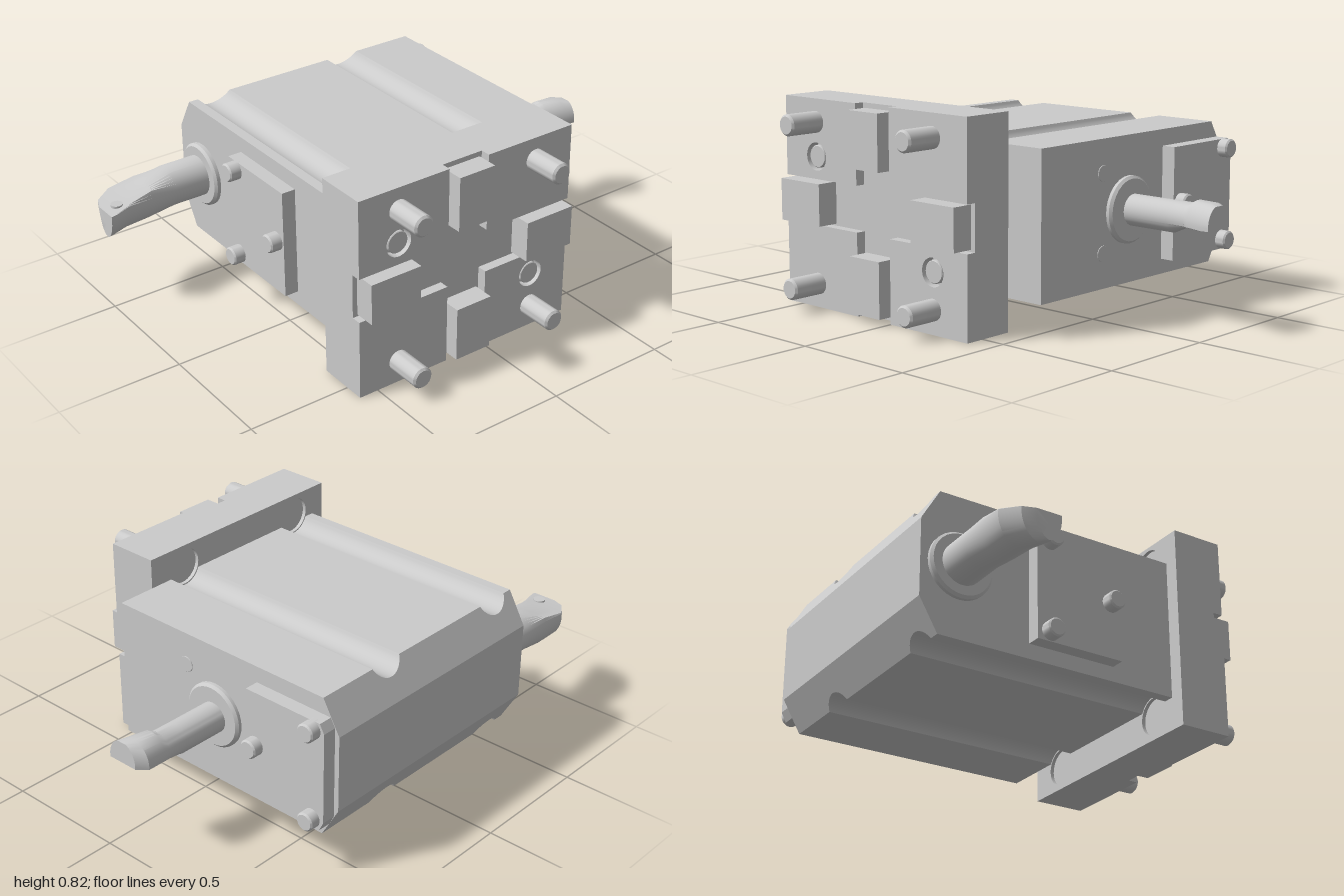
import * as THREE from 'three';
import { toCreasedNormals } from 'three/addons/utils/BufferGeometryUtils.js';

const material = new THREE.MeshStandardMaterial({ color: 0xcccccc });
const clamp = THREE.MathUtils.clamp;

export function createModel() {
  const model = new THREE.Group();

  const add = (name, geometry) => {
    const mesh = new THREE.Mesh(geometry, material);
    mesh.name = name;
    model.add(mesh);
    return mesh;
  };

  const box = (name, x0, x1, y0, y1, z0, z1) => add(name,
    new THREE.BoxGeometry(x1 - x0, y1 - y0, z1 - z0)
      .translate((x0 + x1) / 2, (y0 + y1) / 2, (z0 + z1) / 2));

  // Round pin with a bevelled tip, starting at (x, y, z) and pointing along an axis
  const pin = (name, r, length, bevel, axis, x, y, z) => {
    const profile = [[0, 0], [r, 0], [r, length - bevel], [r - bevel, length], [0, length]]
      .map(p => new THREE.Vector2(...p));
    const geo = toCreasedNormals(new THREE.LatheGeometry(profile, 32), 0.5);
    if (axis === '+z') geo.rotateX(Math.PI / 2);
    else geo.rotateZ(axis === '+x' ? -Math.PI / 2 : Math.PI / 2);
    return add(name, geo.translate(x, y, z));
  };

  // Rectangular plate with round holes [x, y, r], extruded along z
  const drilledPlate = (name, x0, x1, y0, y1, z0, z1, holes) => {
    const shape = new THREE.Shape([[x0, y0], [x1, y0], [x1, y1], [x0, y1]]
      .map(p => new THREE.Vector2(...p)));
    for (const [x, y, r] of holes) {
      shape.holes.push(new THREE.Path().absarc(x, y, r, 0, Math.PI * 2, true));
    }
    const geo = new THREE.ExtrudeGeometry(shape,
      { depth: z1 - z0, bevelEnabled: false, curveSegments: 24 });
    add(name, toCreasedNormals(geo, 0.5).translate(0, 0, z0));
  };

  // Cutter bar lofted along x; sections are [x, zCentre, zRadius, yCentre, yRadius, yLow, yHigh]
  const loft = (name, sections) => {
    const n = 40, pos = [];
    const rings = sections.map(([x, zc, rz, yc, ry, lo, hi]) =>
      Array.from({ length: n }, (_, j) => {
        const a = j / n * Math.PI * 2;
        return [x, clamp(yc + ry * Math.cos(a), lo, hi), zc + rz * Math.sin(a)];
      }));
    const centre = s => [s[0], (Math.max(s[5], s[3] - s[4]) + Math.min(s[6], s[3] + s[4])) / 2, s[1]];
    const last = rings.length - 1;
    for (let j = 0; j < n; j++) {
      const k = (j + 1) % n;
      for (let i = 0; i < last; i++) {
        const [a, b, c, d] = [rings[i][j], rings[i][k], rings[i + 1][k], rings[i + 1][j]];
        pos.push(...a, ...b, ...c, ...a, ...c, ...d);
      }
      pos.push(...centre(sections[0]), ...rings[0][k], ...rings[0][j]);
      pos.push(...centre(sections[last]), ...rings[last][j], ...rings[last][k]);
    }
    const geo = new THREE.BufferGeometry();
    geo.setAttribute('position', new THREE.Float32BufferAttribute(pos, 3));
    add(name, toCreasedNormals(geo, 0.5));
  };

  // Mounting flange: back plate and four corner pads that leave a cross-shaped slot
  const boltX = [-0.405, 0.225], boltY = [0.095, 0.73];
  const bolts = boltX.flatMap(x => boltY.map(y => [x, y]));
  drilledPlate('flangePlate', -0.58, 0.4, 0, 0.82, 0.365, 0.54,
    bolts.map(([x, y]) => [x, y, 0.075]));
  const dowels = [[-0.405, 0.595], [0.225, 0.235]];
  for (const [x0, x1] of [[-0.58, -0.18], [0, 0.4]]) {
    for (const [y0, y1] of [[0, 0.327], [0.507, 0.82]]) {
      const holes = dowels.filter(([x, y]) => x > x0 && x < x1 && y > y0 && y < y1);
      drilledPlate('flangePad', x0, x1, y0, y1, 0.54, 0.58, holes.map(p => [...p, 0.055]));
    }
  }
  for (const [x, y] of dowels) pin('dowel', 0.044, 0.035, 0.003, '+z', x, y, 0.54);

  // Locating keys in the slot
  for (const [y0, y1] of [[0.025, 0.245], [0.58, 0.8]]) {
    box('verticalKey', -0.17, -0.01, y0, y1, 0.538, 0.628);
  }
  for (const [x0, x1] of [[-0.56, -0.34], [0.16, 0.38]]) {
    box('horizontalKey', x0, x1, 0.335, 0.5, 0.538, 0.628);
  }

  // Flange bolts, heads sunk in the rear of the plate
  for (const [x, y] of bolts) {
    pin('flangeBolt', 0.042, 0.23, 0.008, '+z', x, y, 0.5);
    pin('boltHead', 0.075, 0.155, 0.001, '+z', x, y, 0.38);
  }

  // Body: plain core, with grooved slabs above and below that slope at the back
  box('bodyCore', -0.52, 0.56, 0.26, 0.57, -0.73, 0.365);
  for (const side of [1, -1]) {
    const shape = new THREE.Shape();
    const edge = 0.415 + side * 0.285, inner = 0.415 + side * 0.155;
    const grooveY = side > 0 ? 0.73 : 0.095;
    const r = 0.08, dy = grooveY - edge;
    shape.moveTo(-0.52, inner);
    shape.lineTo(-0.52, edge);
    const half = Math.acos(clamp(dy * side / r, -1, 1));
    for (const x of boltX) {
      for (let i = 0; i <= 20; i++) {
        const a = -half + 2 * half * i / 20;
        shape.lineTo(x + r * Math.sin(a), grooveY - side * r * Math.cos(a));
      }
    }
    shape.lineTo(0.56, edge);
    shape.lineTo(0.56, inner);
    const geo = new THREE.ExtrudeGeometry(shape, { depth: 1, bevelEnabled: false });
    const p = geo.attributes.position;
    for (let i = 0; i < p.count; i++) {
      const slope = 0.577 * (Math.abs(p.getY(i) - 0.415) - 0.155);
      p.setZ(i, p.getZ(i) > 0.5 ? 0.365 : -0.73 + slope);
    }
    add(side > 0 ? 'upperBody' : 'lowerBody', toCreasedNormals(geo, 0.5));
  }

  // Right cover plate, trimmed to follow the sloped back
  const cover = new THREE.Shape(
    [[0.34, 0.19], [0.69, 0.19], [0.71, 0.23], [0.71, 0.6], [0.69, 0.635], [0.34, 0.635]]
      .map(p => new THREE.Vector2(...p)));
  add('coverPlate', new THREE.ExtrudeGeometry(cover, { depth: 0.057, bevelEnabled: false })
    .rotateY(Math.PI / 2).translate(0.56, 0, 0));
  // Left cover plate
  box('coverPlate', -0.577, -0.52, 0.19, 0.635, -0.275, 0.095);

  // Cover screws
  for (const [z, y] of [[-0.383, 0.415], [-0.656, 0.6], [-0.656, 0.23]]) {
    pin('coverScrew', 0.037, 0.06, 0.006, '+x', 0.6, y, z);
  }
  for (const [z, y] of [[0.05, 0.415], [-0.22, 0.6], [-0.22, 0.23]]) {
    pin('coverScrew', 0.037, 0.06, 0.006, '-x', -0.565, y, z);
  }

  // Flush plugs on the right face
  for (const y of [0.265, 0.57]) pin('sidePlug', 0.031, 0.013, 0.001, '+x', 0.55, y, 0.018);

  // Spindle collars
  pin('collar', 0.13, 0.03, 0.01, '+x', 0.553, 0.415, -0.13);
  pin('collar', 0.13, 0.03, 0.01, '-x', -0.515, 0.415, -0.57);

  // Small boring bar on the right
  loft('smallBoringBar', [
    [0.56, -0.137, 0.061, 0.415, 0.061, 0, 1],
    [0.78, -0.137, 0.061, 0.415, 0.061, 0, 1],
    [0.86, -0.137, 0.063, 0.415, 0.062, 0.392, 1],
    [0.885, -0.132, 0.068, 0.41, 0.082, 0.395, 0.49],
    [0.965, -0.12, 0.08, 0.41, 0.082, 0.395, 0.49],
    [1, -0.1, 0.065, 0.41, 0.08, 0.4, 0.485],
  ]);

  // Large boring bar on the left, cut flat on top at the tip
  loft('largeBoringBar', [
    [-1, -0.505, 0.05, 0.42, 0.1, 0.32, 0.428],
    [-0.98, -0.53, 0.075, 0.42, 0.108, 0.312, 0.43],
    [-0.91, -0.563, 0.09, 0.42, 0.108, 0.312, 0.44],
    [-0.8, -0.57, 0.084, 0.415, 0.1, 0.315, 0.46],
    [-0.69, -0.571, 0.083, 0.415, 0.083, 0, 1],
    [-0.52, -0.571, 0.083, 0.415, 0.083, 0, 1],
  ]);

  // Insert clamp screw on the flat tip
  add('insertScrew', new THREE.CylinderGeometry(0.024, 0.024, 0.03, 24)
    .translate(-0.945, 0.427, -0.515));

  return model;
}
